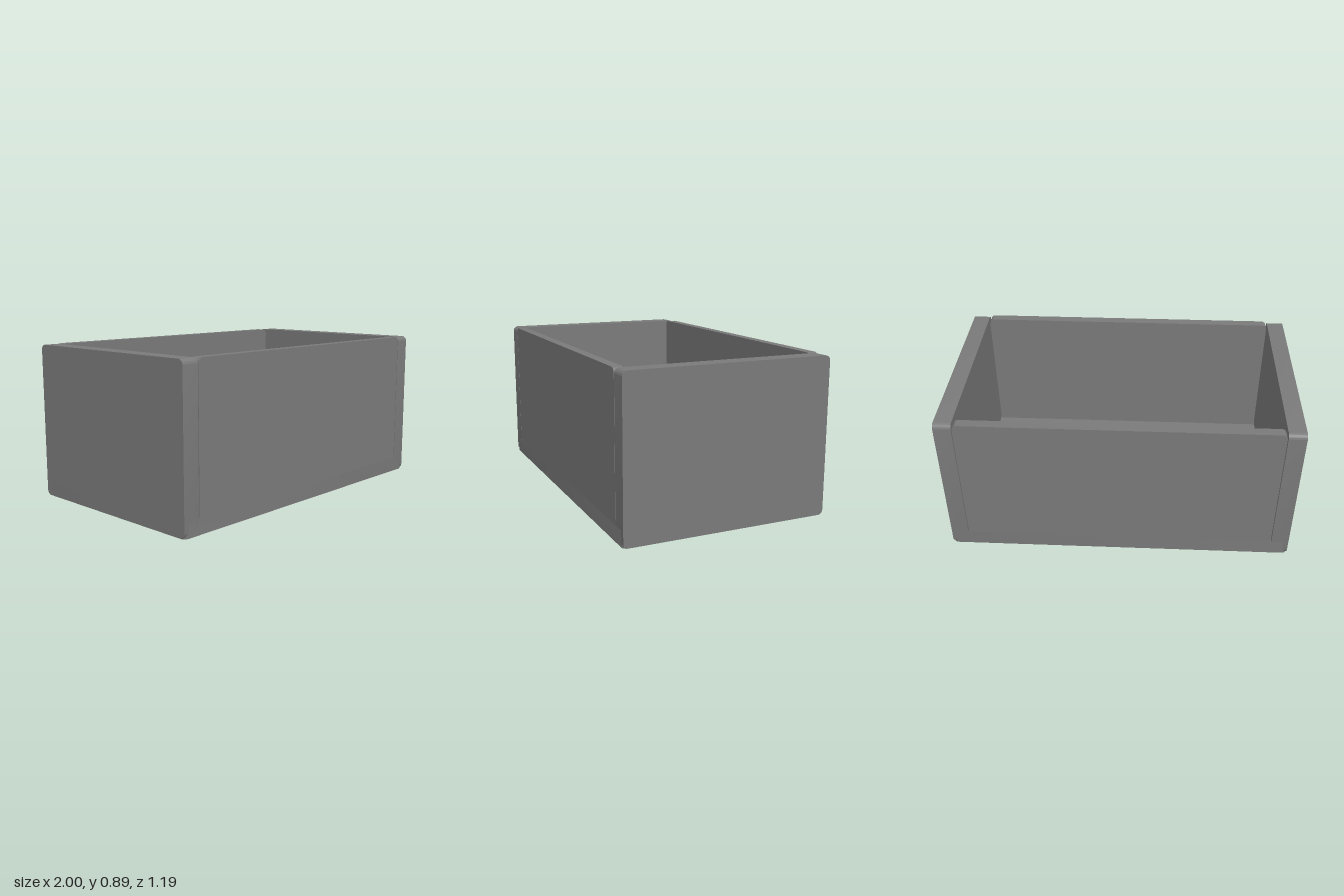
import * as THREE from 'three';
import { toCreasedNormals } from 'three/addons/utils/BufferGeometryUtils.js';

const W = 2, H = 0.89, D = 1.19;   // overall size
const FLOOR = 0.09, END = 0.1, SIDE = 0.055, GAP = 0.004, R = 0.03;

// Flat panel with rounded corners, centred on the origin, thickness along z
function panelGeometry(w, h, thickness) {
  const x = w / 2, y = h / 2;
  const s = new THREE.Shape();
  s.moveTo(-x + R, -y);
  s.absarc(x - R, -y + R, R, -Math.PI / 2, 0);
  s.absarc(x - R, y - R, R, 0, Math.PI / 2);
  s.absarc(-x + R, y - R, R, Math.PI / 2, Math.PI);
  s.absarc(-x + R, -y + R, R, Math.PI, Math.PI * 1.5);
  const g = new THREE.ExtrudeGeometry(s, { depth: thickness, bevelEnabled: false, curveSegments: 8 });
  g.translate(0, 0, -thickness / 2);
  return toCreasedNormals(g, 0.6);
}

export function createModel() {
  const group = new THREE.Group();
  const grey = new THREE.MeshStandardMaterial({ color: 0x7a7a7a });
  grey.name = 'grey';

  const add = (name, geometry) => {
    const mesh = new THREE.Mesh(geometry, grey);
    mesh.name = name;
    group.add(mesh);
  };

  // Floor slab
  add('floor', panelGeometry(W, D, FLOOR).rotateX(-Math.PI / 2).translate(0, FLOOR / 2, 0));

  // Thick end walls, full height
  for (const [name, s] of [['leftEndWall', 1], ['rightEndWall', -1]]) {
    add(name, panelGeometry(D, H, END).rotateY(Math.PI / 2).translate(s * (W - END) / 2, H / 2, 0));
  }

  // Thin long walls set into the floor, with a fine joint at each end
  const sink = 0.05, sideHeight = H - FLOOR + sink;
  for (const [name, s] of [['frontWall', 1], ['backWall', -1]]) {
    add(name, panelGeometry(W - 2 * (END + GAP), sideHeight, SIDE)
      .translate(0, H - sideHeight / 2, s * (D - SIDE) / 2));
  }
  return group;
}
